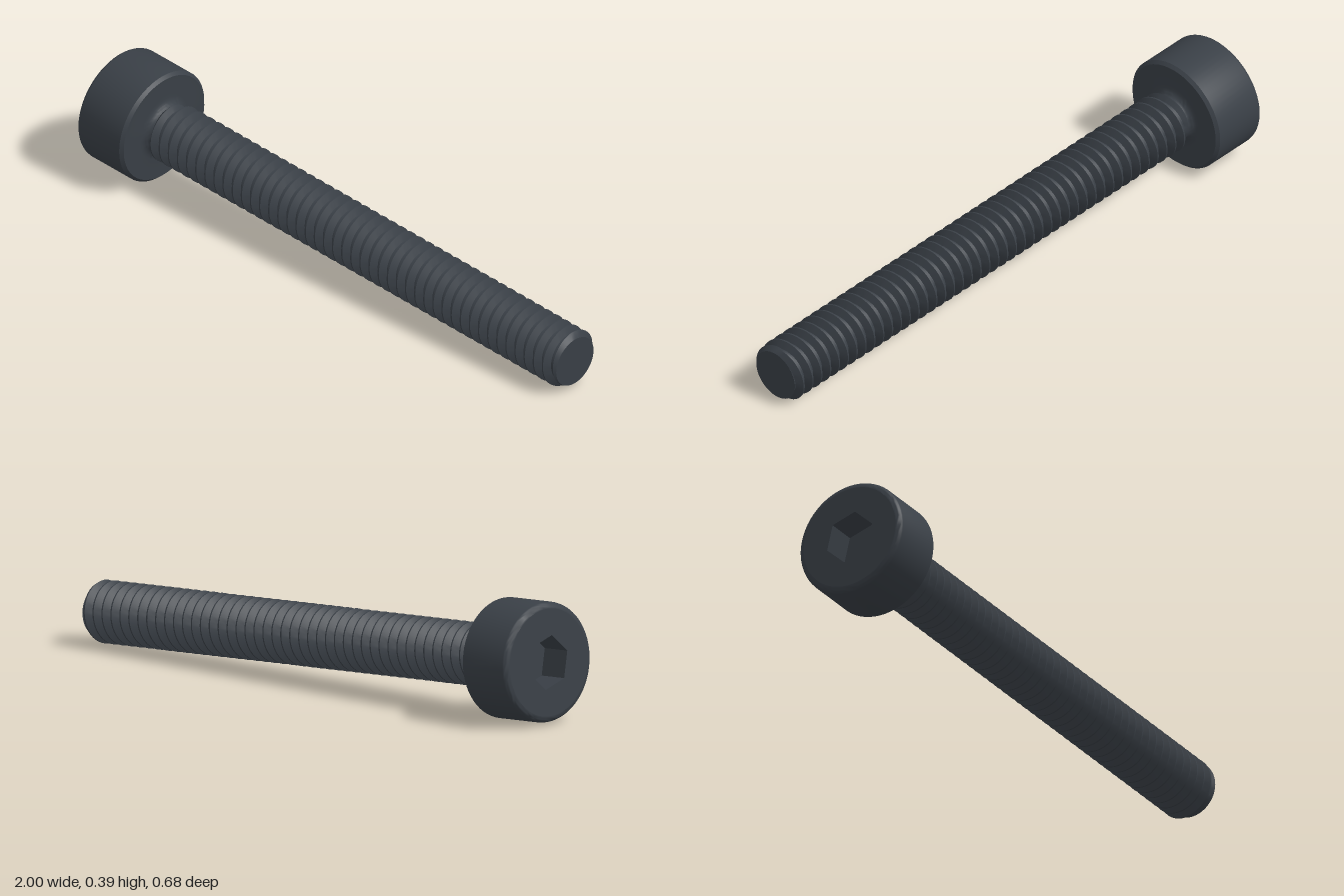
import * as THREE from 'three';
import { toCreasedNormals } from 'three/addons/utils/BufferGeometryUtils.js';

const LENGTH = 1.987, HEAD_R = 0.189, HEAD_H = 0.199, ROUND = 0.02;
const MAJOR = 0.0994, MINOR = 0.076, PITCH = 0.0397, TIP_R = 0.083;
const THREAD_START = 0.212, SOCKET_R = 0.086, SOCKET_DEPTH = 0.1;

const steel = new THREE.MeshStandardMaterial({ color: 0x3a4047 });
steel.name = 'dark steel';

function addPart(group, name, geometry) {
  const mesh = new THREE.Mesh(geometry, steel);
  mesh.name = name;
  group.add(mesh);
}

function lathe(points, segments, phi = 0) {
  const profile = points.map(([r, y]) => new THREE.Vector2(r, y));
  return toCreasedNormals(new THREE.LatheGeometry(profile, segments, phi), 0.55);
}

// Helical ridge: each row of the profile winds round the axis, clipped at both ends
function threadGeometry() {
  const SEG = 48;
  const profile = [[0, MINOR], [0.25, MINOR], [0.56, MAJOR], [0.69, MAJOR]];
  const turns = Math.ceil((LENGTH - THREAD_START) / PITCH) + 1;
  const rows = (turns + 1) * profile.length;
  const positions = [], index = [];
  const radiusLimit = (y) => Math.min(
    MAJOR,
    MINOR + (y - THREAD_START) * 1.0,   // thread run-out below the head
    TIP_R + (LENGTH - y)                // chamfered tip
  );
  for (let i = 0; i <= rows; i++) {
    const [offset, radius] = profile[i % 4];
    const turn = Math.floor(i / 4) - 1;
    for (let j = 0; j <= SEG; j++) {
      const a = (j / SEG) * Math.PI * 2;
      const y = THREE.MathUtils.clamp(
        THREAD_START + PITCH * (turn + offset + j / SEG), THREAD_START, LENGTH);
      const r = Math.min(radius, radiusLimit(y));
      const rim = y === LENGTH ? TIP_R : r;
      positions.push(rim * Math.sin(a), y, rim * Math.cos(a));
    }
  }
  const yOf = (v) => positions[v * 3 + 1];
  for (let i = 0; i < rows; i++) {
    for (let j = 0; j < SEG; j++) {
      const a = i * (SEG + 1) + j, b = a + 1, c = a + SEG + 1, d = c + 1;
      if (yOf(a) === yOf(d)) continue;   // fully clipped away
      index.push(a, b, d, a, d, c);
    }
  }
  const geometry = new THREE.BufferGeometry();
  geometry.setAttribute('position', new THREE.Float32BufferAttribute(positions, 3));
  geometry.setIndex(index);
  return toCreasedNormals(geometry, 0.55);
}

export function createModel() {
  const screw = new THREE.Group();
  screw.name = 'socketHeadScrew';

  // Head side with rounded top edge, chamfered underside and fillet into the shank
  const head = [];
  for (let i = 0; i <= 6; i++) {
    const a = (i / 6) * Math.PI / 2;
    head.push([HEAD_R - ROUND + ROUND * Math.sin(a), ROUND - ROUND * Math.cos(a)]);
  }
  head.push([HEAD_R, HEAD_H - 0.01], [HEAD_R - 0.01, HEAD_H], [0.108, HEAD_H]);
  for (let i = 1; i <= 5; i++) {
    const a = (i / 5) * Math.PI / 2;
    head.push([0.108 - 0.032 * Math.sin(a), HEAD_H + 0.022 * (1 - Math.cos(a))]);
  }
  addPart(screw, 'head', lathe(head, 64));

  // Flat end of the head with a hexagonal opening
  const face = new THREE.Shape().absarc(0, 0, HEAD_R - ROUND, 0, Math.PI * 2);
  const hex = [];
  for (let k = 0; k < 6; k++) {
    const a = Math.PI / 6 + k * Math.PI / 3;
    hex.push(new THREE.Vector2(SOCKET_R * Math.sin(a), SOCKET_R * Math.cos(a)));
  }
  face.holes.push(new THREE.Path(hex));
  addPart(screw, 'headFace', new THREE.ShapeGeometry(face, 32).rotateX(Math.PI / 2));

  // Hexagonal socket: floor and inward-facing walls
  addPart(screw, 'hexSocket', lathe(
    [[0, SOCKET_DEPTH], [SOCKET_R, SOCKET_DEPTH], [SOCKET_R, 0]], 6, Math.PI / 6));

  addPart(screw, 'thread', threadGeometry());

  const tip = new THREE.CircleGeometry(TIP_R, 48).rotateX(-Math.PI / 2);
  addPart(screw, 'tip', tip.translate(0, LENGTH, 0));

  // Lay the screw down so head and tip both rest on the ground
  const axis = new THREE.Vector3(0.9777, -0.0495, 0.2046).normalize();
  screw.quaternion.setFromUnitVectors(new THREE.Vector3(0, 1, 0), axis);
  screw.position.set(-0.964, 0.199, -0.158);

  const model = new THREE.Group();
  model.name = 'screwModel';
  model.add(screw);
  return model;
}
